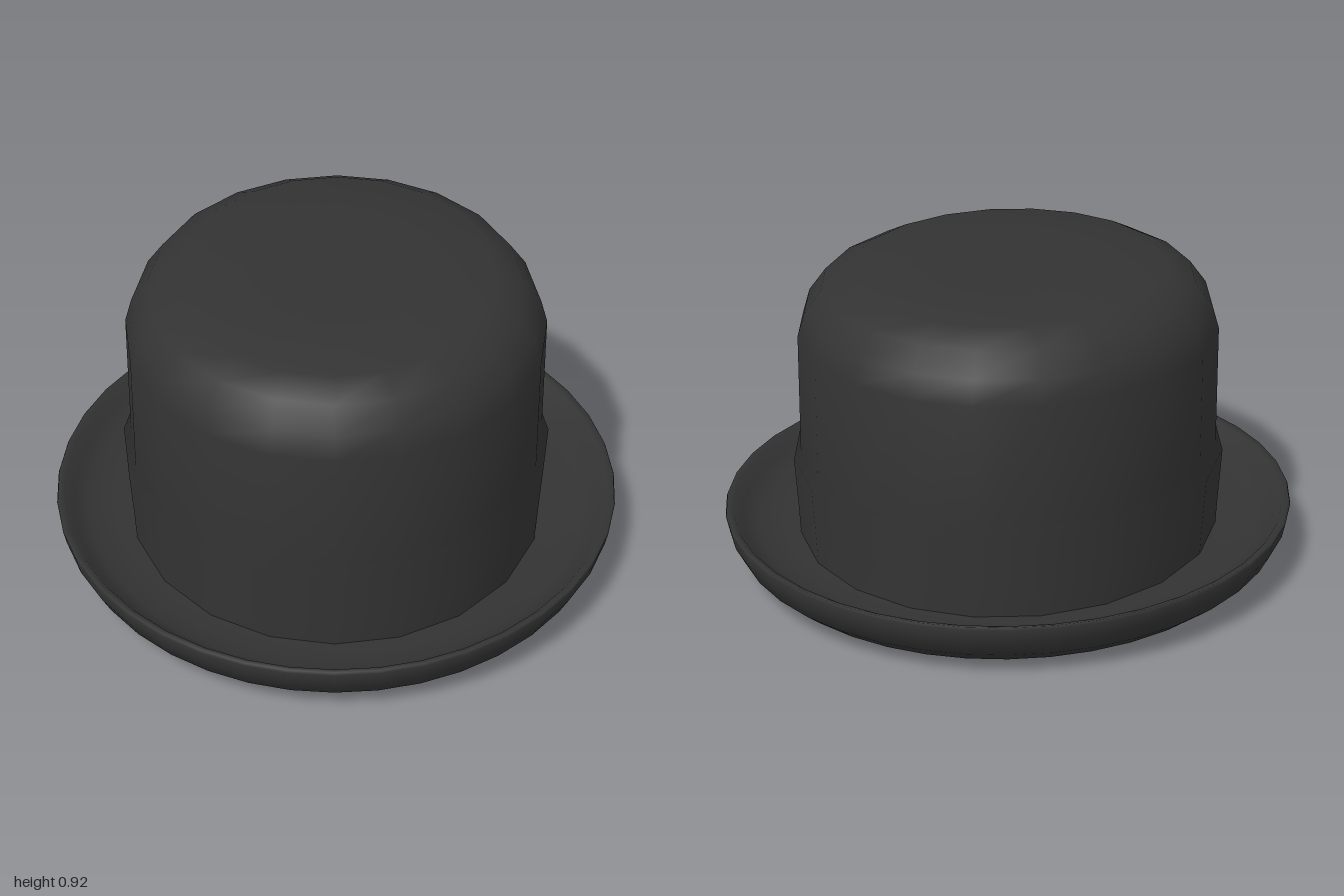
import * as THREE from 'three';
import { toCreasedNormals } from 'three/addons/utils/BufferGeometryUtils.js';

// Sweeps a [halfWidth, y] profile round an oval that is longer in z.
// Profiles run upward on outer walls and downward on inner walls.
function ovalLoft(profile, sides, crease) {
  const pos = [], index = [];
  for (const [r, y] of profile) {
    const rz = r + 0.112 * Math.min(1, r / 0.4);
    for (let i = 0; i < sides; i++) {
      const t = (i / sides) * Math.PI * 2;
      const a = t + 0.03 * Math.sin(2 * t);
      pos.push(r * Math.cos(a), y, rz * Math.sin(a));
    }
  }
  for (let j = 0; j < profile.length - 1; j++) {
    for (let i = 0; i < sides; i++) {
      const k = (i + 1) % sides;
      const a = j * sides + i, b = j * sides + k;
      const c = a + sides, d = b + sides;
      if (profile[j][0] > 0) index.push(a, c, b);
      if (profile[j + 1][0] > 0) index.push(b, c, d);
    }
  }
  const geo = new THREE.BufferGeometry();
  geo.setAttribute('position', new THREE.Float32BufferAttribute(pos, 3));
  geo.setIndex(index);
  return toCreasedNormals(geo, crease);
}

// Turns all normals level, so a bevel shades softly into the wall above it
function levelNormals(geo) {
  const normal = geo.attributes.normal;
  for (let i = 0; i < normal.count; i++) normal.setY(i, 0);
  geo.normalizeNormals();
}

export function createModel() {
  const hat = new THREE.Group();
  hat.name = 'hat';
  const felt = new THREE.MeshStandardMaterial({ color: 0x333333 });
  felt.name = 'charcoal felt';

  const add = (name, profile, sides, crease = 0.9) => {
    const mesh = new THREE.Mesh(ovalLoft(profile, sides, crease), felt);
    mesh.name = name;
    hat.add(mesh);
    return mesh;
  };

  // Straight-sided crown with a rounded shoulder and nearly flat top
  add('crown', [
    [0.645, 0.07], [0.648, 0.35], [0.646, 0.73], [0.625, 0.80],
    [0.572, 0.87], [0.485, 0.91], [0.25, 0.914], [0, 0.915],
  ], 20);

  // Hollow inside, from the closed top down to a flange round the opening
  add('lining', [
    [0, 0.845], [0.44, 0.84], [0.52, 0.81], [0.565, 0.76], [0.58, 0.7],
    [0.582, 0.3], [0.582, 0.002], [0.64, 0],
  ], 20);

  // Band round the foot of the crown, with a softly bevelled top edge
  const band = add('hatBand', [
    [0.655, 0.07], [0.66, 0.17], [0.67, 0.33], [0.647, 0.36],
  ], 20, Math.PI);
  levelNormals(band.geometry);

  // Thick dished brim: underside, rolled edge, lip, then upper surface
  add('brim', [
    [0.6, 0.003], [0.66, 0.002], [0.73, 0.009], [0.80, 0.027], [0.85, 0.066],
    [0.878, 0.118], [0.887, 0.16], [0.884, 0.168], [0.862, 0.162],
    [0.835, 0.128], [0.785, 0.101], [0.71, 0.088], [0.62, 0.085],
  ], 40, Math.PI);

  return hat;
}
